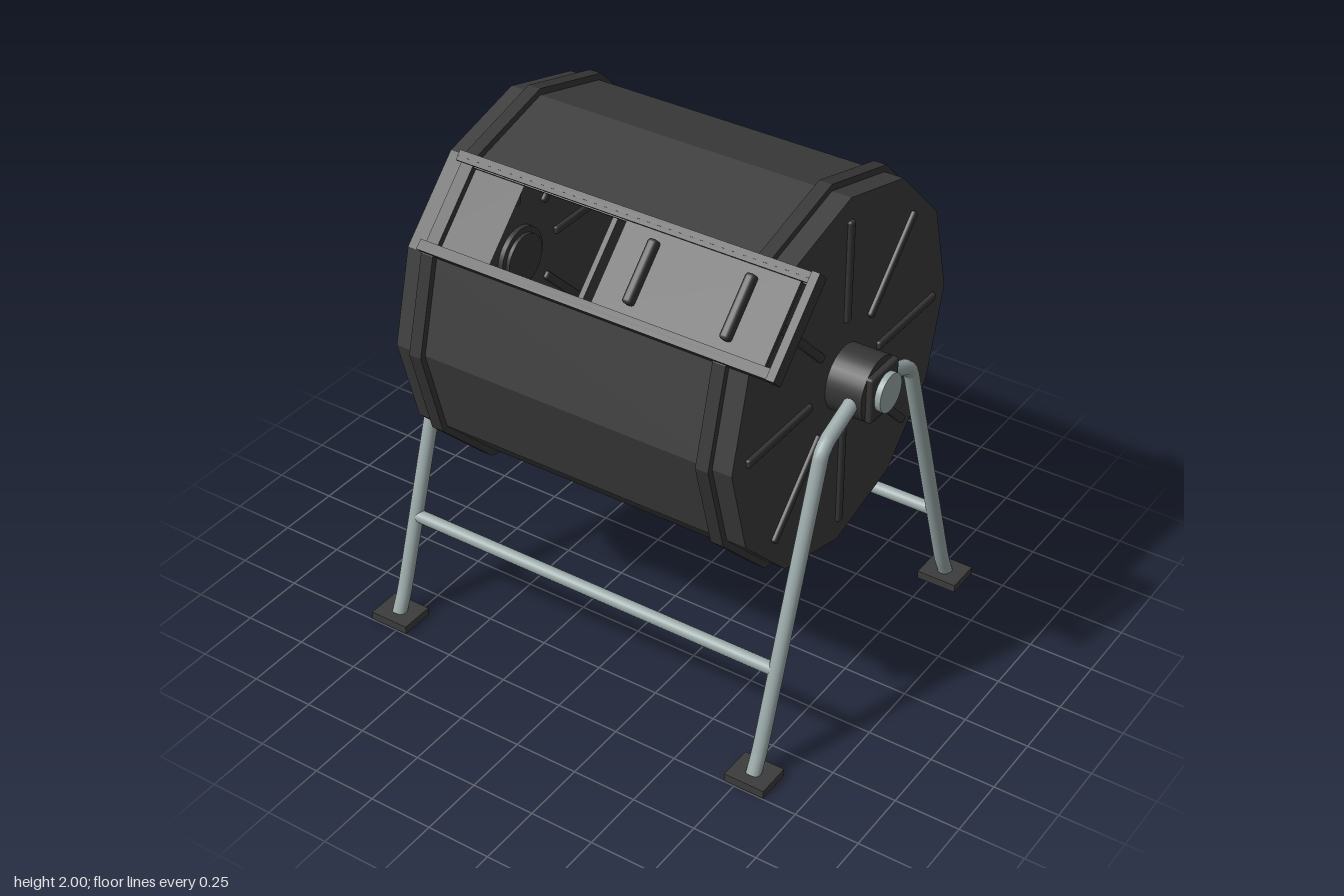
import * as THREE from 'three';
import { RoundedBoxGeometry } from 'three/addons/geometries/RoundedBoxGeometry.js';

const AXLE_Y = 1.275;
const SIDES = 12;
const R = 0.70; // drum corner radius
const APOTHEM = R * Math.cos(Math.PI / SIDES);
const HALF_FACE = R * Math.sin(Math.PI / SIDES);
const HALF_LEN = 0.69;

export function createModel() {
  const drumMat = new THREE.MeshStandardMaterial({ color: 0x3c3c3c, side: THREE.DoubleSide });
  drumMat.name = 'drum plastic';
  const trimMat = new THREE.MeshStandardMaterial({ color: 0x353535 });
  trimMat.name = 'trim plastic';
  const steelMat = new THREE.MeshStandardMaterial({ color: 0x9aa8a8 });
  steelMat.name = 'galvanised steel';

  const model = new THREE.Group();
  model.name = 'compostTumbler';

  const add = (parent, name, geo, mat, x = 0, y = 0, z = 0) => {
    const m = new THREE.Mesh(geo, mat);
    m.name = name;
    m.position.set(x, y, z);
    parent.add(m);
    return m;
  };
  const box = (w, h, d) => new THREE.BoxGeometry(w, h, d);
  // cylinder lying along x
  const xCylinder = (r, len, seg = 32) =>
    new THREE.CylinderGeometry(r, r, len, seg).rotateZ(Math.PI / 2);
  const polygon = (Type, r) => {
    const p = new Type();
    for (let i = 0; i < SIDES; i++) {
      const a = (i / SIDES) * Math.PI * 2;
      p[i ? 'lineTo' : 'moveTo'](r * Math.cos(a), r * Math.sin(a));
    }
    p.closePath();
    return p;
  };
  const rect = (Type, x0, y0, x1, y1) => {
    const p = new Type();
    p.moveTo(x0, y0);
    p.lineTo(x1, y0);
    p.lineTo(x1, y1);
    p.lineTo(x0, y1);
    p.closePath();
    return p;
  };

  // ---- Drum: twelve flat panels, one with the hatch opening
  const drum = new THREE.Group();
  drum.name = 'drum';
  drum.position.y = AXLE_Y;
  model.add(drum);
  for (let i = 0; i < SIDES; i++) {
    const angle = ((i + 0.5) / SIDES) * Math.PI * 2;
    const shape = rect(THREE.Shape, -HALF_LEN, -HALF_FACE, HALF_LEN, HALF_FACE);
    if (i === 1) shape.holes.push(rect(THREE.Path, -0.36, -0.148, 0.36, 0.148));
    const panel = new THREE.ShapeGeometry(shape).translate(0, 0, APOTHEM).rotateX(-angle);
    add(drum, 'drumPanel', panel, drumMat);
  }
  const divider = new THREE.CylinderGeometry(0.675, 0.675, 0.02, SIDES)
    .rotateZ(Math.PI / 2).toNonIndexed();
  divider.computeVertexNormals();
  add(drum, 'chamberDivider', divider, drumMat);

  // ---- End walls, ribs, hoops and hubs on both ends
  const hoopShape = polygon(THREE.Shape, 0.725);
  hoopShape.holes.push(polygon(THREE.Path, 0.695));
  const hoopGeo = new THREE.ExtrudeGeometry(hoopShape, { depth: 0.05, bevelEnabled: false })
    .translate(0, 0, -0.025).rotateY(Math.PI / 2);

  for (const s of [1, -1]) {
    const end = new THREE.ShapeGeometry(polygon(THREE.Shape, R)).rotateY((s * Math.PI) / 2);
    add(drum, 'endWall', end, drumMat, s * HALF_LEN);
    add(drum, 'hoop', hoopGeo, trimMat, s * 0.59);
    for (let i = 0; i < 8; i++) {
      const rib = new RoundedBoxGeometry(0.03, 0.395, 0.032, 1, 0.008)
        .translate(0, 0.418, 0).rotateX((i * Math.PI) / 4);
      add(drum, 'endRib', rib, trimMat, s * 0.69);
    }
    add(drum, 'hub', xCylinder(0.123, 0.16), trimMat, s * 0.75);
    add(drum, 'innerHub', xCylinder(0.1, 0.03), trimMat, s * 0.67);
    add(drum, 'hubPlate', new RoundedBoxGeometry(0.04, 0.18, 0.18, 2, 0.01), trimMat, s * 0.833);
    add(drum, 'axleCap', xCylinder(0.073, 0.035), steelMat, s * 0.858);
  }

  // ---- Sliding hatch, built flat and tilted onto its panel
  const hatch = new THREE.Group();
  hatch.name = 'slidingHatch';
  hatch.rotation.x = -Math.PI / 4;
  drum.add(hatch);
  for (const s of [1, -1]) {
    add(hatch, 'railWall', box(1.41, 0.022, 0.056), trimMat, 0.085, s * 0.174, 0.702);
    add(hatch, 'railLip', box(1.41, 0.02, 0.012), trimMat, 0.085, s * 0.157, 0.723);
    add(hatch, 'railFoot', box(1.41, 0.02, 0.012), trimMat, 0.085, s * 0.157, 0.684);
  }
  add(hatch, 'endStop', box(0.03, 0.375, 0.06), trimMat, 0.795, 0, 0.708);
  add(hatch, 'door', box(0.67, 0.325, 0.016), drumMat, 0.415, 0, 0.709);
  for (const x of [0.215, 0.59]) {
    add(hatch, 'doorGrip', new RoundedBoxGeometry(0.036, 0.23, 0.045, 2, 0.012), trimMat, x, 0, 0.73);
  }

  // ---- Stand: four bent legs, foot pads and two cross bars
  const stand = new THREE.Group();
  stand.name = 'stand';
  model.add(stand);
  for (const sx of [1, -1]) {
    for (const sz of [1, -1]) {
      const pts = [[1.275, 0.08], [1.2, 0.265], [1.165, 0.3], [0.15, 0.63], [0.1, 0.648], [0.025, 0.682]]
        .map(([y, z]) => new THREE.Vector3(0, y, sz * z));
      const path = new THREE.CurvePath();
      for (let i = 0; i < pts.length - 1; i++) path.add(new THREE.LineCurve3(pts[i], pts[i + 1]));
      add(stand, 'leg', new THREE.TubeGeometry(path, 60, 0.028, 16), steelMat, sx * 0.787);
      add(stand, 'footPad', box(0.16, 0.032, 0.136), drumMat, sx * 0.787, 0.016, sz * 0.678);
    }
  }
  for (const sz of [1, -1]) {
    add(stand, 'crossBar', xCylinder(0.025, 1.55, 16), steelMat, 0, 0.4, sz * 0.549);
  }
  return model;
}
